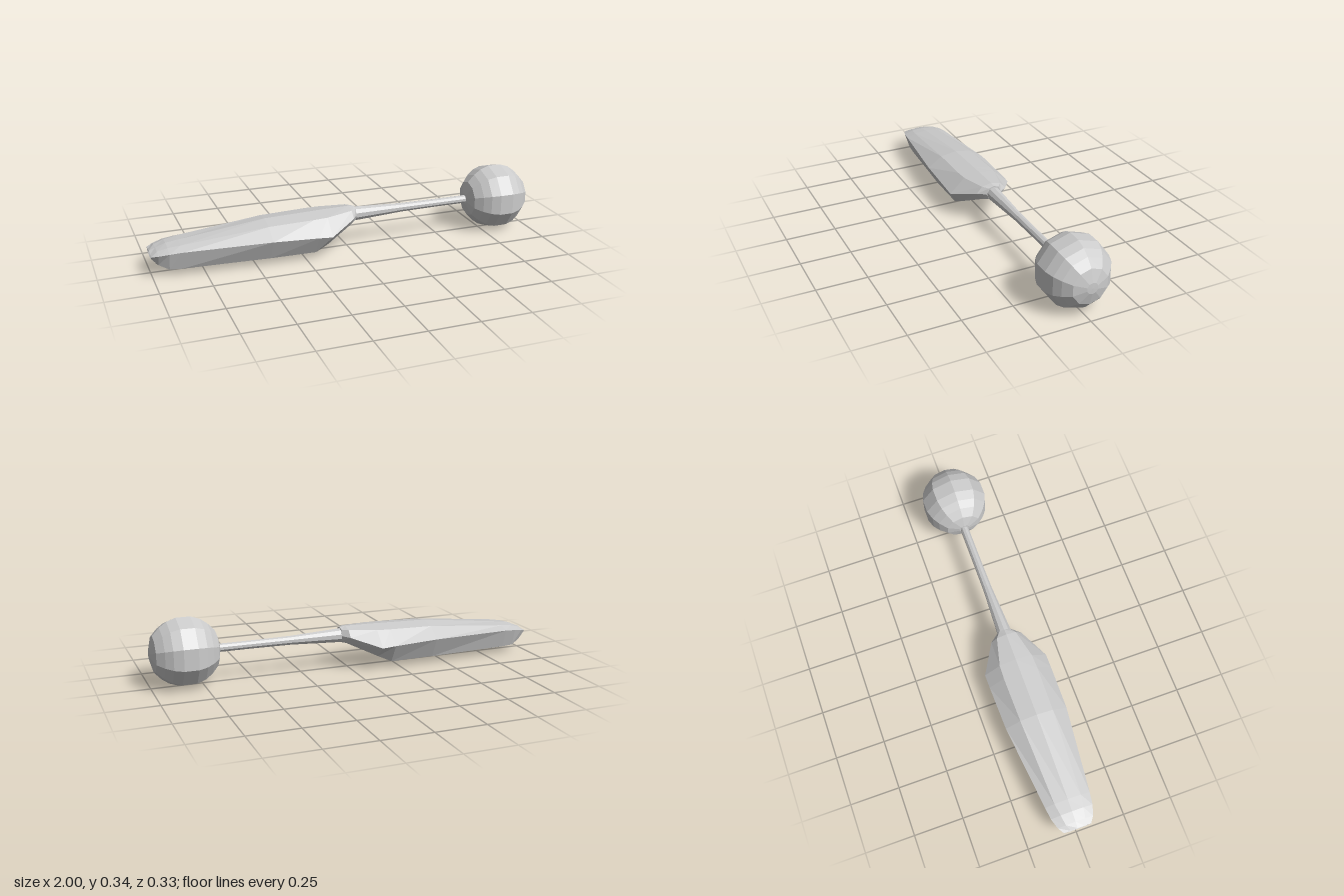
import * as THREE from 'three';

const material = new THREE.MeshStandardMaterial({ color: 0xcccccc, flatShading: true });

// Solid of revolution about the x axis; profile is [x, radius] from left to right
function turned(name, profile, sides, y) {
  const points = profile.map(([x, r]) => new THREE.Vector2(r, x));
  const geometry = new THREE.LatheGeometry(points, sides, Math.PI / 2);
  geometry.rotateZ(-Math.PI / 2);
  const mesh = new THREE.Mesh(geometry, material);
  mesh.name = name;
  mesh.position.y = y;
  return mesh;
}

// Faceted skin through mirrored eight-sided sections, closed at both ends
function loft(sections) {
  const positions = [], index = [], n = 8;
  for (const [x, top, zu, yu, zs, ys, zl, yl, bottom] of sections) {
    positions.push(x, top, 0, x, yu, zu, x, ys, zs, x, yl, zl,
      x, bottom, 0, x, yl, -zl, x, ys, -zs, x, yu, -zu);
  }
  const last = (sections.length - 1) * n;
  for (let i = 0; i < last; i += n) {
    for (let j = 0; j < n; j++) {
      const k = (j + 1) % n;
      index.push(i + j, i + k, i + n + j, i + k, i + n + k, i + n + j);
    }
  }
  // End caps: the butt is slightly dished, the neck is flat
  const butt = last + n, neck = butt + 1;
  const end = sections[sections.length - 1];
  positions.push(-0.98, 0.105, 0, end[0], end[5], 0);
  for (let j = 0; j < n; j++) {
    const k = (j + 1) % n;
    index.push(butt, k, j, neck, last + j, last + k);
  }
  const geometry = new THREE.BufferGeometry();
  geometry.setAttribute('position', new THREE.Float32BufferAttribute(positions, 3));
  geometry.setIndex(index);
  geometry.computeVertexNormals();
  return geometry;
}

export function createModel() {
  const model = new THREE.Group();
  model.name = 'ballHeadedTool';

  // Grip: x, top y, upper z and y, side z and y, lower z and y, bottom y
  const handle = new THREE.Mesh(loft([
    [-1.00, 0.118, 0.035, 0.112, 0.070, 0.110, 0.050, 0.095, 0.090],
    [-0.97, 0.130, 0.050, 0.128, 0.090, 0.118, 0.065, 0.065, 0.045],
    [-0.92, 0.147, 0.058, 0.142, 0.107, 0.127, 0.080, 0.040, 0.022],
    [-0.86, 0.155, 0.068, 0.150, 0.115, 0.132, 0.085, 0.038, 0.008],
    [-0.43, 0.206, 0.085, 0.192, 0.160, 0.140, 0.110, 0.038, 0.005],
    [-0.20, 0.212, 0.088, 0.198, 0.164, 0.130, 0.110, 0.036, 0.028],
    [-0.13, 0.214, 0.085, 0.200, 0.164, 0.125, 0.100, 0.068, 0.060],
    [0.01, 0.216, 0.050, 0.206, 0.080, 0.172, 0.050, 0.136, 0.128],
    [0.04, 0.212, 0.027, 0.204, 0.040, 0.174, 0.027, 0.145, 0.135],
  ]), material);
  handle.name = 'handle';
  model.add(handle);

  // Tapered rod running into the head
  model.add(turned('shaft',
    [[0, 0.037], [0.05, 0.036], [0.3, 0.023], [0.5, 0.021], [0.7, 0.021]], 10, 0.17));

  // Round head with ten sides and small flat poles
  const half = [[0.168, 0.028], [0.15, 0.09], [0.115, 0.127], [0.08, 0.152], [0.035, 0.168]];
  const right = half.map(([x, r]) => [0.831 + x, r]).reverse();
  const left = half.map(([x, r]) => [0.831 - x, r]);
  model.add(turned('head', [[0.663, 0], ...left, ...right, [1, 0]], 10, 0.171));

  return model;
}
